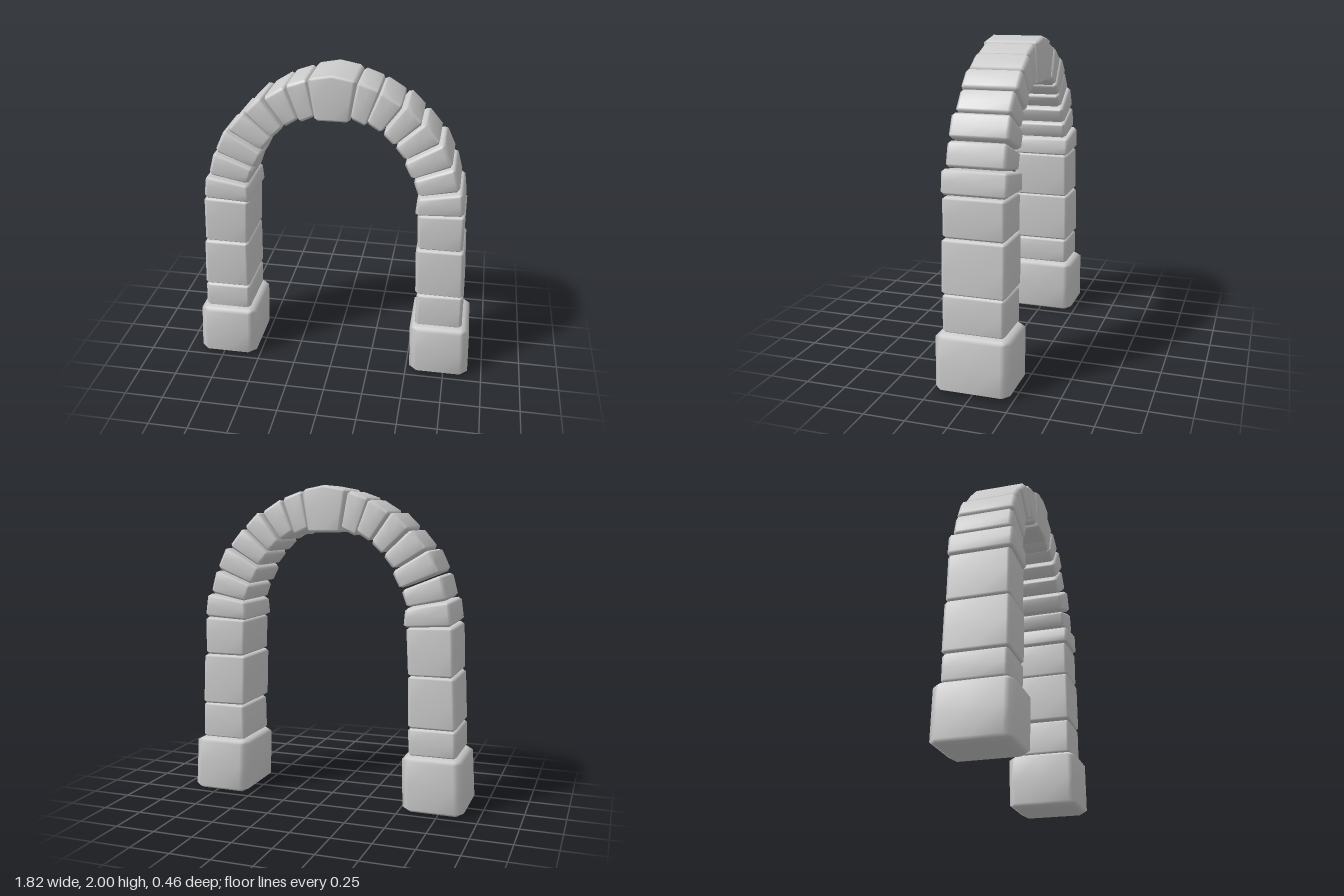
import * as THREE from 'three';
import { mergeVertices } from 'three/addons/utils/BufferGeometryUtils.js';

const material = new THREE.MeshStandardMaterial({ color: 0xcccccc });

// Chamfered block bent onto a front outline:
// corners = [bottom left, bottom right, top right, top left], halfDepth along z.
function stone(name, corners, halfDepth, { bevel = [0.022, 0.016, 0.022], bow = 0 } = {}) {
  const [bl, br, tr, tl] = corners.map(([x, y]) => new THREE.Vector2(x, y));
  const width = (bl.distanceTo(br) + tl.distanceTo(tr)) / 2;
  const height = (bl.distanceTo(tl) + br.distanceTo(tr)) / 2;
  const half = [width / 2, height / 2, halfDepth];

  const geometry = new THREE.BoxGeometry(2, 2, 2, 4, 4, 4);
  geometry.deleteAttribute('uv');
  geometry.deleteAttribute('normal');
  const pos = geometry.attributes.position;
  const bottom = new THREE.Vector2(), top = new THREE.Vector2();
  for (let i = 0; i < pos.count; i++) {
    const grid = [pos.getX(i), pos.getY(i), pos.getZ(i)];
    const outer = grid.filter((g) => Math.abs(g) > 0.9).length;
    // edges sit halfway across the chamfer, corners on the corner triangle
    const pull = [0, 0, 0.5, 2 / 3][outer];
    const [u, v, w] = grid.map((g, k) => {
      const a = Math.abs(g), b = bevel[k] / half[k];
      return Math.sign(g) * (a > 0.9 ? 1 - pull * b : a > 0.1 ? 1 - b : 0);
    });
    bottom.lerpVectors(bl, br, (u + 1) / 2);
    top.lerpVectors(tl, tr, (u + 1) / 2);
    bottom.lerp(top, (v + 1) / 2);
    const lift = bow * (1 - Math.abs(u)) * (v + 1) / 2;
    pos.setXYZ(i, bottom.x, bottom.y + lift, w * halfDepth);
  }
  const merged = mergeVertices(geometry, 1e-5);
  merged.computeVertexNormals();
  const mesh = new THREE.Mesh(merged, material);
  mesh.name = name;
  return mesh;
}

// Mirror an outline to the other side of the arch
const mirror = ([a, b, c, d]) => [b, a, d, c].map(([x, y]) => [-x, y]);

// Outlines on the +x side: inner bottom, outer bottom, outer top, inner top
const base = [[0.525, 0], [0.91, 0], [0.89, 0.36], [0.515, 0.36]];
const leftPillar = [
  [[[0.545, 0.355], [0.85, 0.355], [0.845, 0.59], [0.55, 0.585]], 0.19],
  [[[0.54, 0.59], [0.845, 0.585], [0.83, 0.915], [0.53, 0.915]], 0.195],
  [[[0.54, 0.915], [0.82, 0.915], [0.82, 1.16], [0.53, 1.15]], 0.19],
];
const rightPillar = [
  [[[0.555, 0.355], [0.855, 0.355], [0.85, 0.53], [0.55, 0.53]], 0.19],
  [[[0.55, 0.53], [0.85, 0.53], [0.835, 0.855], [0.545, 0.855]], 0.195],
  [[[0.545, 0.85], [0.83, 0.855], [0.82, 1.16], [0.53, 1.15]], 0.19],
];
const archStones = [
  [[[0.515, 1.15], [0.815, 1.165], [0.795, 1.315], [0.525, 1.265]], 0.2],
  [[[0.53, 1.27], [0.78, 1.32], [0.74, 1.47], [0.495, 1.37]], 0.18],
  [[[0.485, 1.38], [0.73, 1.48], [0.665, 1.62], [0.435, 1.48]], 0.18],
  [[[0.44, 1.495], [0.65, 1.62], [0.55, 1.74], [0.375, 1.575]], 0.167],
  [[[0.37, 1.585], [0.54, 1.74], [0.435, 1.845], [0.3, 1.655]], 0.175],
  [[[0.29, 1.66], [0.42, 1.835], [0.285, 1.92], [0.205, 1.715]], 0.17],
  [[[0.2, 1.69], [0.285, 1.92], [0.15, 1.968], [0.105, 1.735]], 0.162],
];

export function createModel() {
  const arch = new THREE.Group();
  arch.name = 'stoneArch';

  for (const side of ['left', 'right']) {
    const place = (outline) => (side === 'left' ? outline : mirror(outline));
    const leg = new THREE.Group();
    leg.name = `${side}Side`;

    // Wide foot block
    leg.add(stone(`${side}Base`, place(base), 0.23, { bevel: [0.05, 0.028, 0.05] }));

    // Upright blocks, laid differently on each side
    const pillar = side === 'left' ? leftPillar : rightPillar;
    pillar.forEach(([outline, depth], i) =>
      leg.add(stone(`${side}PillarStone${i + 1}`, place(outline), depth)));

    // Wedges curving up to the crown
    archStones.forEach(([outline, depth], i) =>
      leg.add(stone(`${side}ArchStone${i + 1}`, place(outline), depth)));
    arch.add(leg);
  }

  // Keystone with a peaked top
  const key = [[-0.105, 1.713], [0.105, 1.713], [0.148, 1.972], [-0.148, 1.972]];
  arch.add(stone('keystone', key, 0.175, { bow: 0.028 }));
  return arch;
}
